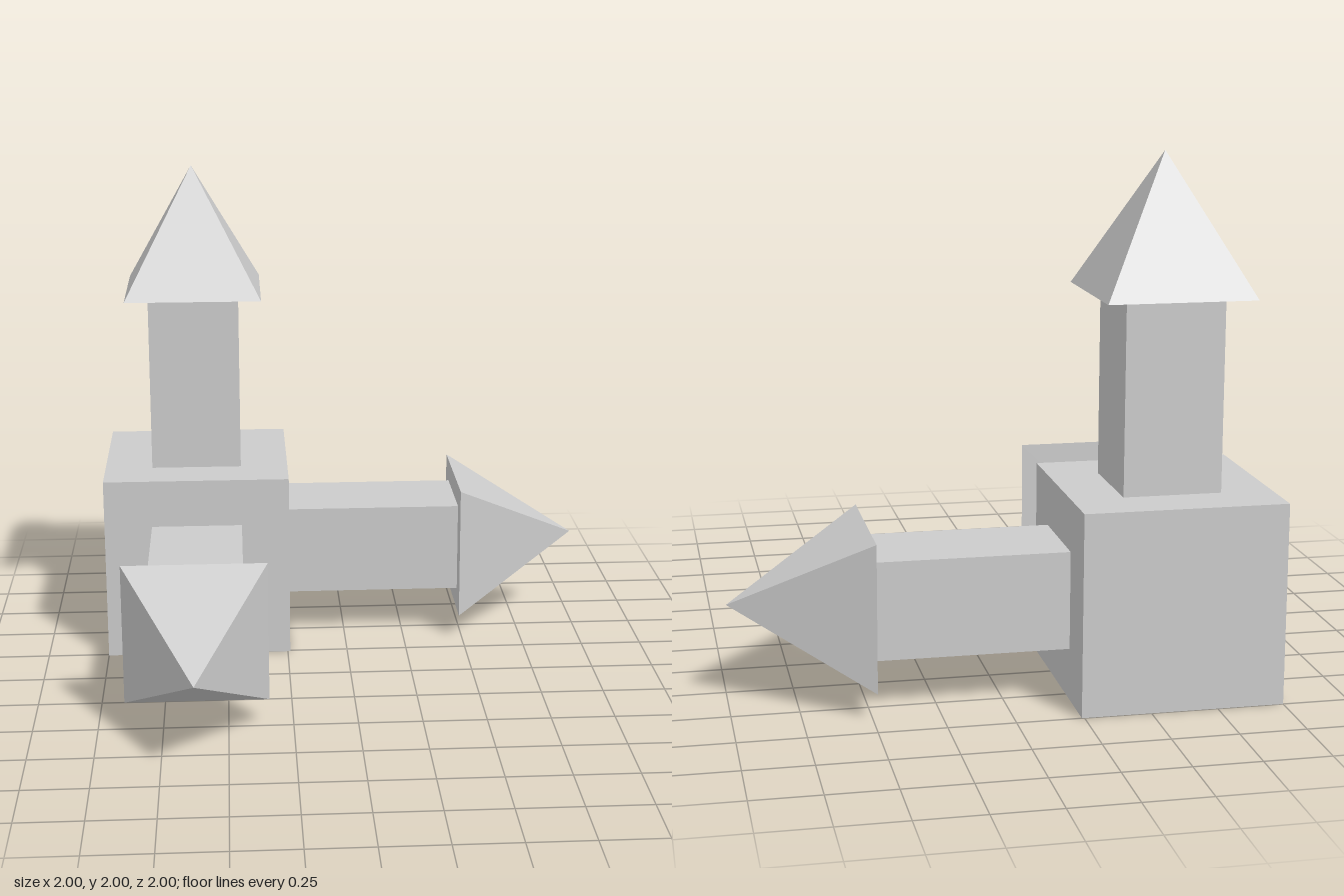
import * as THREE from 'three';

const CUBE = 0.76, SHAFT_W = 0.37, SHAFT_L = 0.725, HEAD_W = 0.555, HEAD_L = 0.515;

const material = new THREE.MeshStandardMaterial({ color: 0xcccccc, flatShading: true });

function part(name, geometry, y = 0) {
  const mesh = new THREE.Mesh(geometry, material);
  mesh.name = name;
  mesh.position.y = y;
  return mesh;
}

// Square shaft with a pyramid head, pointing along +y from the hub centre
function arrow(name, rx, rz) {
  const group = new THREE.Group();
  group.name = name;
  const shaft = new THREE.BoxGeometry(SHAFT_W, SHAFT_L, SHAFT_W);
  const head = new THREE.ConeGeometry(HEAD_W / Math.SQRT2, HEAD_L, 4).rotateY(Math.PI / 4);
  group.add(
    part('shaft', shaft, CUBE / 2 + SHAFT_L / 2),
    part('arrowHead', head, CUBE / 2 + SHAFT_L + HEAD_L / 2)
  );
  group.rotation.set(rx, 0, rz);
  return group;
}

export function createModel() {
  const model = new THREE.Group();
  model.name = 'axisArrows';

  // Everything is placed around the hub centre in the back corner
  const axes = new THREE.Group();
  axes.name = 'axes';
  axes.position.set(-0.62, CUBE / 2, -0.62);
  axes.add(
    part('hubCube', new THREE.BoxGeometry(CUBE, CUBE, CUBE)),
    arrow('upArrow', 0, 0),
    arrow('leftArrow', 0, -Math.PI / 2),
    arrow('frontArrow', Math.PI / 2, 0)
  );
  model.add(axes);
  return model;
}
